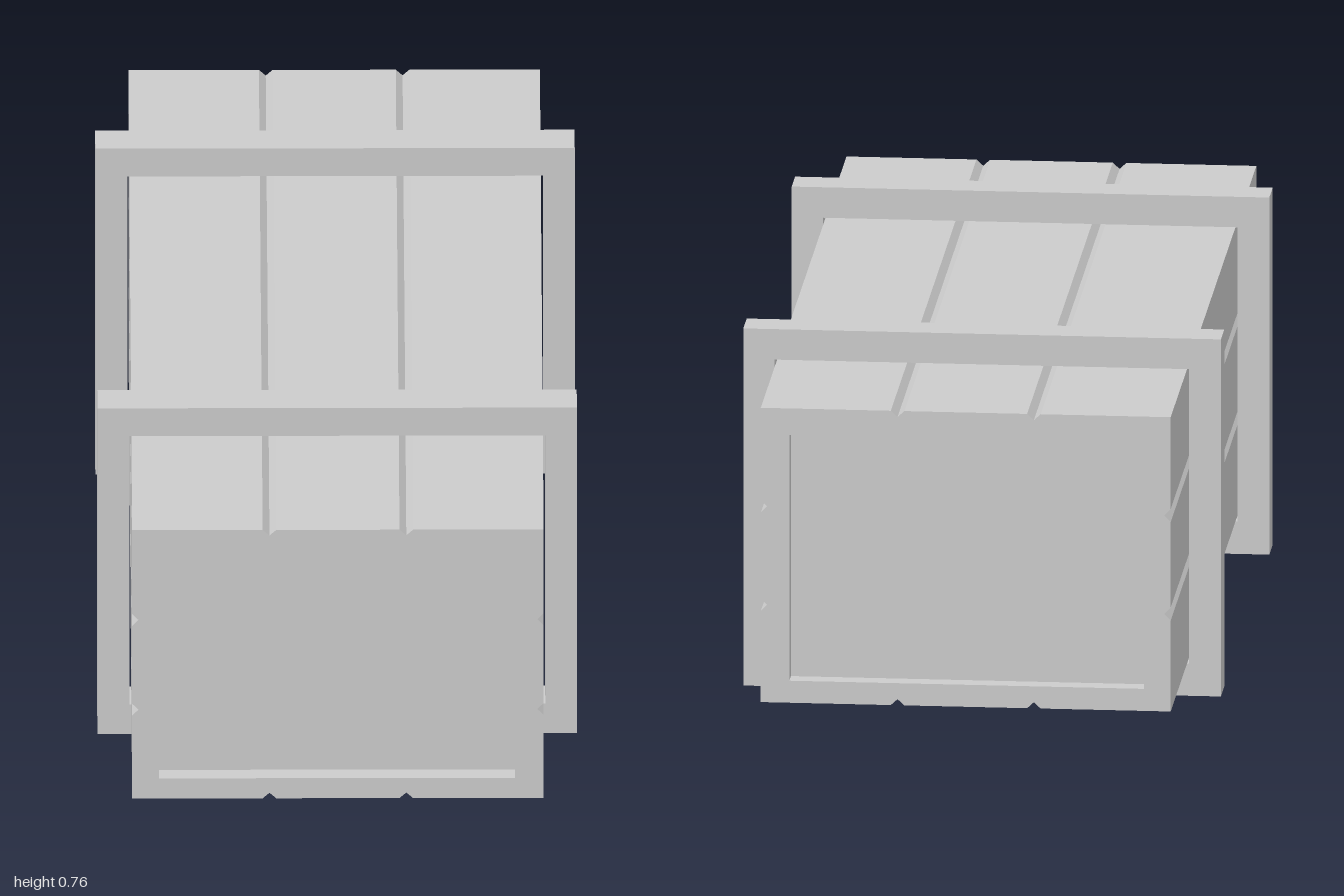
import * as THREE from 'three';

const material = new THREE.MeshStandardMaterial({ color: 0xcccccc, flatShading: true });

// Closed rectangle as a list of points
function rectangle(x0, y0, x1, y1) {
  return [[x0, y0], [x1, y0], [x1, y1], [x0, y1]].map(([x, y]) => new THREE.Vector2(x, y));
}

// Prism along z with a rectangular opening, from z = back to z = front
function hollowPrism(name, outline, opening, back, front) {
  const shape = new THREE.Shape(outline);
  shape.holes.push(new THREE.Path(opening));
  const geometry = new THREE.ExtrudeGeometry(shape, { depth: front - back, bevelEnabled: false });
  geometry.translate(0, 0, back);
  const mesh = new THREE.Mesh(geometry, material);
  mesh.name = name;
  return mesh;
}

// Rectangle outline with V-shaped plank grooves cut into every side
function groovedOutline(x0, y0, x1, y1, groovesX, groovesY, half, depth) {
  const points = [];
  const sides = [
    { from: [x0, y0], dir: [1, 0], inward: [0, 1], at: groovesX.map((x) => x - x0) },
    { from: [x1, y0], dir: [0, 1], inward: [-1, 0], at: groovesY.map((y) => y - y0) },
    { from: [x1, y1], dir: [-1, 0], inward: [0, -1], at: groovesX.map((x) => x1 - x).reverse() },
    { from: [x0, y1], dir: [0, -1], inward: [1, 0], at: groovesY.map((y) => y1 - y).reverse() },
  ];
  for (const { from, dir, inward, at } of sides) {
    const add = (along, inset) => points.push(new THREE.Vector2(
      from[0] + dir[0] * along + inward[0] * inset,
      from[1] + dir[1] * along + inward[1] * inset));
    add(0, 0);
    for (const g of at) {
      add(g - half, 0);
      add(g, depth);
      add(g + half, 0);
    }
  }
  return points;
}

export function createModel() {
  const crate = new THREE.Group();
  crate.name = 'crate';

  // Long plank body, open at both ends
  const outline = groovedOutline(-0.425, 0.069, 0.423, 0.697,
    [-0.142, 0.14], [0.277, 0.487], 0.014, 0.013);
  const opening = rectangle(-0.37, 0.116, 0.364, 0.64);
  crate.add(hollowPrism('plankBody', outline, opening, -1, 1));

  // Recessed end panels
  for (const [name, side] of [['frontPanel', 1], ['backPanel', -1]]) {
    const panel = new THREE.Mesh(new THREE.BoxGeometry(0.734, 0.524, 0.03), material);
    panel.name = name;
    panel.position.set(-0.003, 0.378, side * 0.948);
    crate.add(panel);
  }

  // Square bands around the body
  for (const [name, back, front] of [['frontBand', 0.512, 0.591], ['backBand', -0.617, -0.538]]) {
    crate.add(hollowPrism(name, rectangle(-0.495, 0, 0.493, 0.762),
      rectangle(-0.429, 0.069, 0.428, 0.697), back, front));
  }

  return crate;
}
